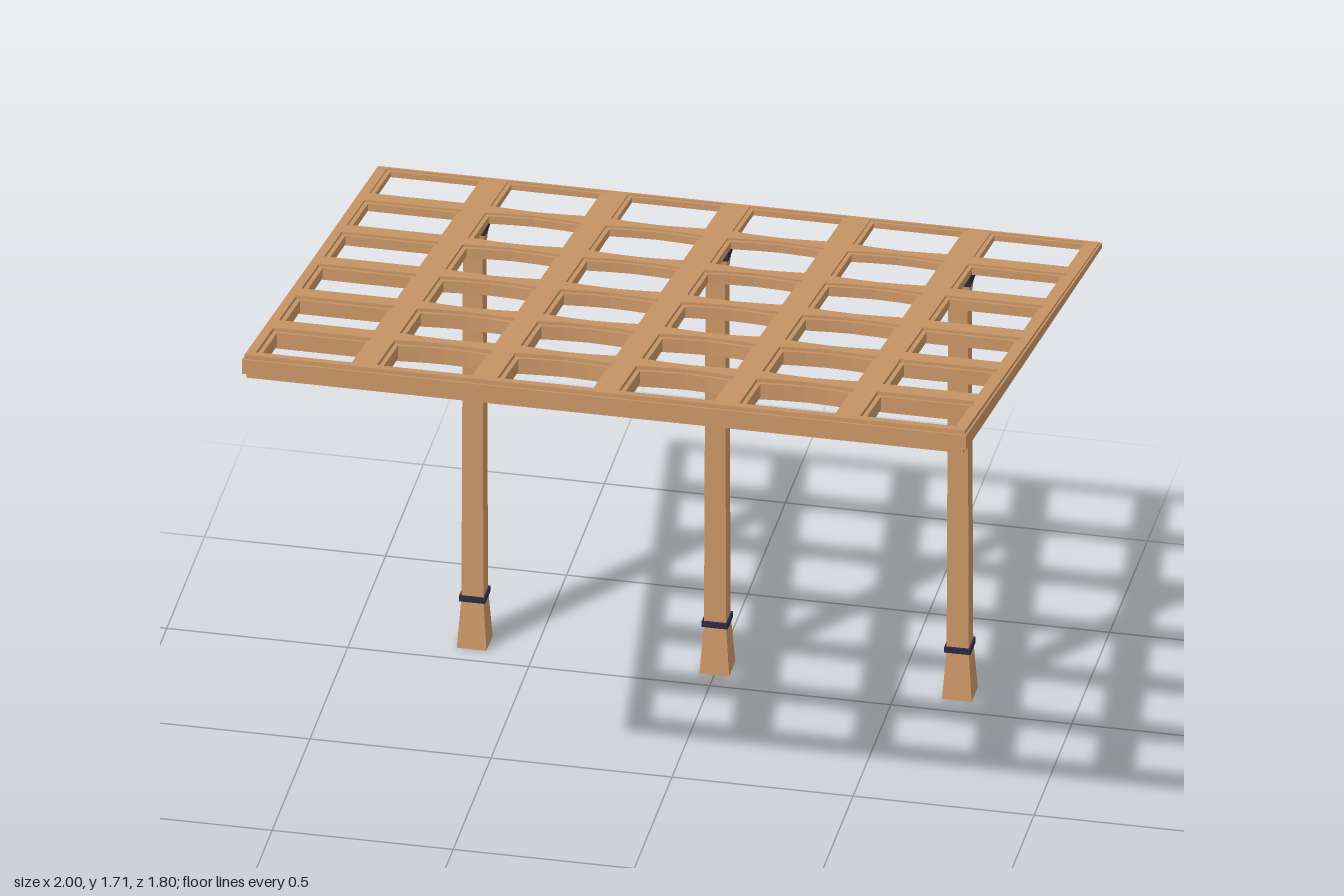
import * as THREE from 'three';

const wood = new THREE.MeshStandardMaterial({ color: 0xcf9a6a });
wood.name = 'warm wood';
const metal = new THREE.MeshStandardMaterial({ color: 0x2c2a45 });
metal.name = 'dark band';

// Roof planes: height of the underside and of the top at a given z
const underside = z => 1.451 + 0.2156 * z;
const topSide = z => 1.5 + 0.2411 * z;

const columns = [-0.97, -0.636, -0.303, 0.032, 0.365, 0.698];
const rows = [-0.878, -0.58, -0.28, 0.022, 0.322, 0.625];
const holeW = 0.27, holeD = 0.234;

// One opening; the middle columns have gently arched long edges
function opening(x, z, inset, bowBack, bowFront) {
  const x0 = x + inset, x1 = x + holeW - inset;
  const z0 = z + inset, z1 = z + holeD - inset;
  const path = new THREE.Path();
  path.moveTo(x0, -z0);
  path.lineTo(x0, -z1);
  const n = 4;
  const arch = i => 1 - Math.abs(2 * i / n - 1) ** 1.5;
  for (let i = 1; i <= n; i++)
    path.lineTo(x0 + (x1 - x0) * i / n, -(z1 + bowFront * arch(i)));
  for (let i = 0; i < n; i++)
    path.lineTo(x1 - (x1 - x0) * i / n, -(z0 - bowBack * arch(i)));
  path.closePath();
  return path;
}

// A lattice sheet between two fractions of the tapering roof thickness
function latticeLayer(name, t0, t1, halfX, halfZ, inset) {
  const shape = new THREE.Shape();
  shape.moveTo(-halfX, -halfZ);
  shape.lineTo(halfX, -halfZ);
  shape.lineTo(halfX, halfZ);
  shape.lineTo(-halfX, halfZ);
  shape.closePath();
  columns.forEach((x, c) => rows.forEach((z, r) => {
    const bow = c > 0 && c < 5 ? 0.014 : 0;
    shape.holes.push(opening(x, z, inset, r > 0 ? bow : 0, r < 5 ? bow : 0));
  }));
  const geo = new THREE.ExtrudeGeometry(shape, { depth: 1, bevelEnabled: false });
  geo.rotateX(-Math.PI / 2);
  // Lay the flat sheet onto the sloping, tapering roof
  const p = geo.attributes.position;
  for (let i = 0; i < p.count; i++) {
    const z = p.getZ(i), t = t0 + (t1 - t0) * p.getY(i);
    p.setY(i, underside(z) + t * (topSide(z) - underside(z)));
  }
  geo.computeVertexNormals();
  const mesh = new THREE.Mesh(geo, wood);
  mesh.name = name;
  return mesh;
}

// Square tapered block from y0 to y1 with given widths
function block(name, y0, y1, w0, w1, material) {
  const geo = new THREE.CylinderGeometry(w1 * Math.SQRT1_2, w0 * Math.SQRT1_2, y1 - y0, 4).toNonIndexed();
  geo.rotateY(Math.PI / 4);
  geo.computeVertexNormals();
  const mesh = new THREE.Mesh(geo, material);
  mesh.name = name;
  mesh.position.y = (y0 + y1) / 2;
  return mesh;
}

function post(x) {
  const g = new THREE.Group();
  g.name = 'post';
  g.add(
    block('postBase', 0, 0.145, 0.082, 0.062, wood),
    block('lowerBand', 0.143, 0.16, 0.072, 0.072, metal),
    block('postShaft', 0.155, 1.25, 0.061, 0.054, wood),
    block('postCapital', 1.25, 1.298, 0.056, 0.068, wood),
    block('upperBand', 1.296, 1.328, 0.074, 0.074, metal)
  );
  g.position.set(x, 0, -0.6);
  return g;
}

export function createModel() {
  const model = new THREE.Group();
  model.name = 'pergola';

  // Roof lattice: a core sheet with slimmer rims above and below
  const roof = new THREE.Group();
  roof.name = 'roofLattice';
  roof.add(
    latticeLayer('lowerRim', 0, 0.2, 0.99, 0.89, 0),
    latticeLayer('latticeCore', 0.2, 0.82, 1, 0.9, 0.012),
    latticeLayer('upperRim', 0.82, 1, 0.995, 0.89, 0)
  );
  model.add(roof);

  // Row of posts near the back edge
  for (const x of [-0.67, 0, 0.67]) model.add(post(x));
  return model;
}
